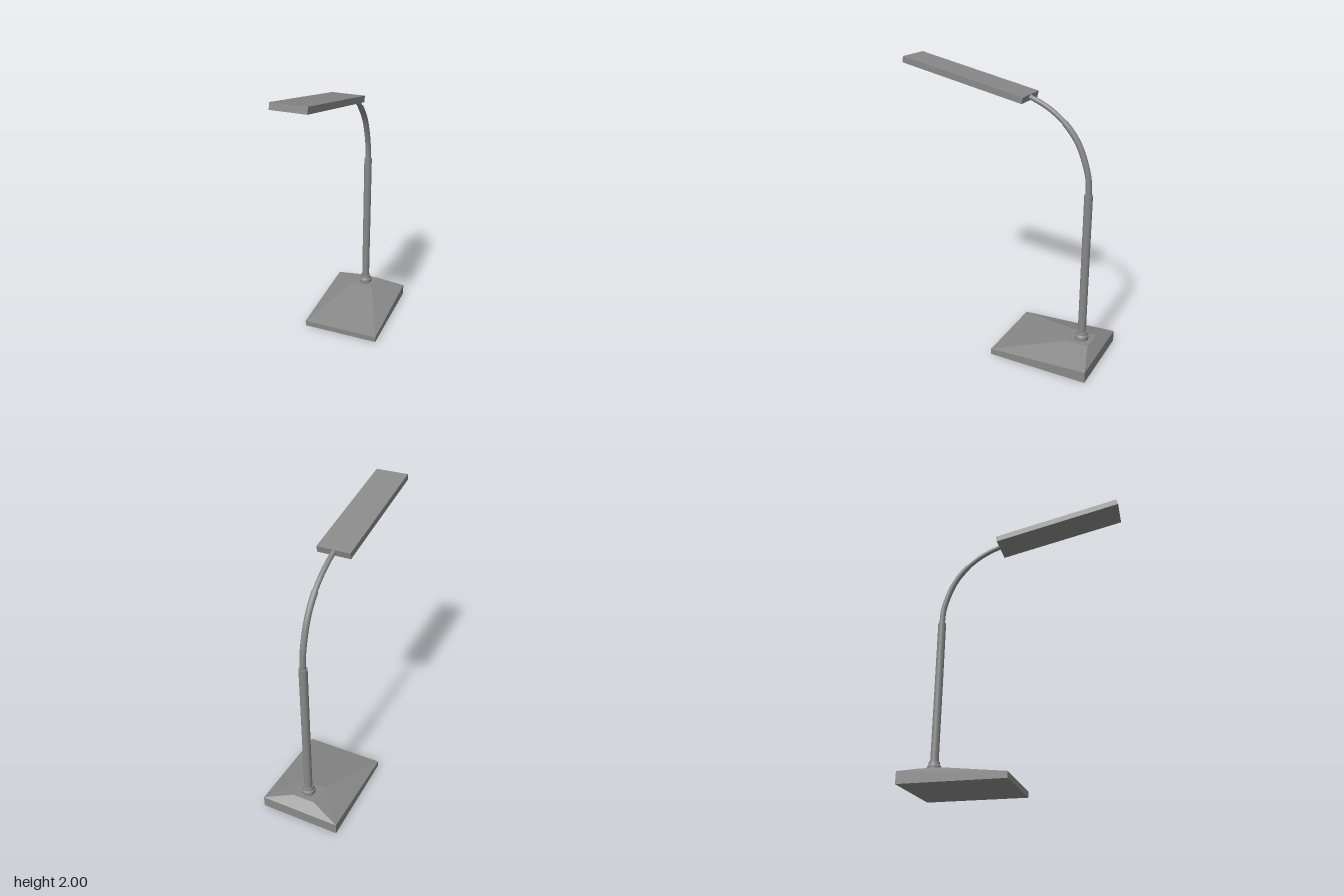
import * as THREE from 'three';
import { ConvexGeometry } from 'three/addons/geometries/ConvexGeometry.js';

const POLE_Z = -0.587;

export function createModel() {
  const group = new THREE.Group();
  const material = new THREE.MeshStandardMaterial({ color: 0x888888 });
  const add = (name, geometry, x = 0, y = 0, z = 0) => {
    const mesh = new THREE.Mesh(geometry, material);
    mesh.name = name;
    mesh.position.set(x, y, z);
    group.add(mesh);
    return mesh;
  };

  // Wedge base: flat foot, rim rising to the back, small raised plateau
  const corners = [];
  for (const s of [-1, 1]) {
    for (const [x, y, z] of [
      [0.282, 0, -0.022], [0.282, 0, -0.727],
      [0.282, 0.042, -0.022], [0.282, 0.08, -0.727],
      [0.08, 0.142, -0.513], [0.08, 0.142, -0.663],
    ]) corners.push(new THREE.Vector3(s * x, y, z));
  }
  add('base', new ConvexGeometry(corners));

  // Stepped collar where the pole meets the base
  const collar = [[0.047, 0], [0.047, 0.03], [0.047, 0.03], [0.038, 0.045], [0.038, 0.045], [0.036, 0.062], [0.036, 0.062], [0, 0.062]]
    .map(([r, y]) => new THREE.Vector2(r, y));
  add('collar', new THREE.LatheGeometry(collar, 24), 0, 0.138, POLE_Z);

  // Straight pole
  add('pole', new THREE.CylinderGeometry(0.028, 0.028, 1.07, 24), 0, 0.675, POLE_Z);

  // Curved neck, stepping down to a slimmer upper part
  const path = new THREE.CatmullRomCurve3([
    [1.19, POLE_Z], [1.25, -0.586], [1.34, -0.576], [1.525, -0.51],
    [1.65, -0.415], [1.74, -0.295], [1.797, -0.165], [1.805, -0.13],
  ].map(([y, z]) => new THREE.Vector3(0, y, z)));
  const segments = 120, sides = 16;
  const neck = new THREE.TubeGeometry(path, segments, 0.02, sides);
  const p = neck.attributes.position, v = new THREE.Vector3();
  for (let i = 0; i <= segments; i++) {
    const centre = path.getPointAt(i / segments);
    if (centre.y < 1.66) continue;
    for (let j = 0; j <= sides; j++) {
      const k = i * (sides + 1) + j;
      v.fromBufferAttribute(p, k).sub(centre).multiplyScalar(0.83).add(centre);
      p.setXYZ(k, v.x, v.y, v.z);
    }
  }
  add('neck', neck);

  // Flat lamp head, tilted up towards the front
  const head = add('lampHead', new THREE.BoxGeometry(0.228, 0.042, 0.906), 0, 1.886, 0.278);
  head.rotation.x = -0.203;

  return group;
}
